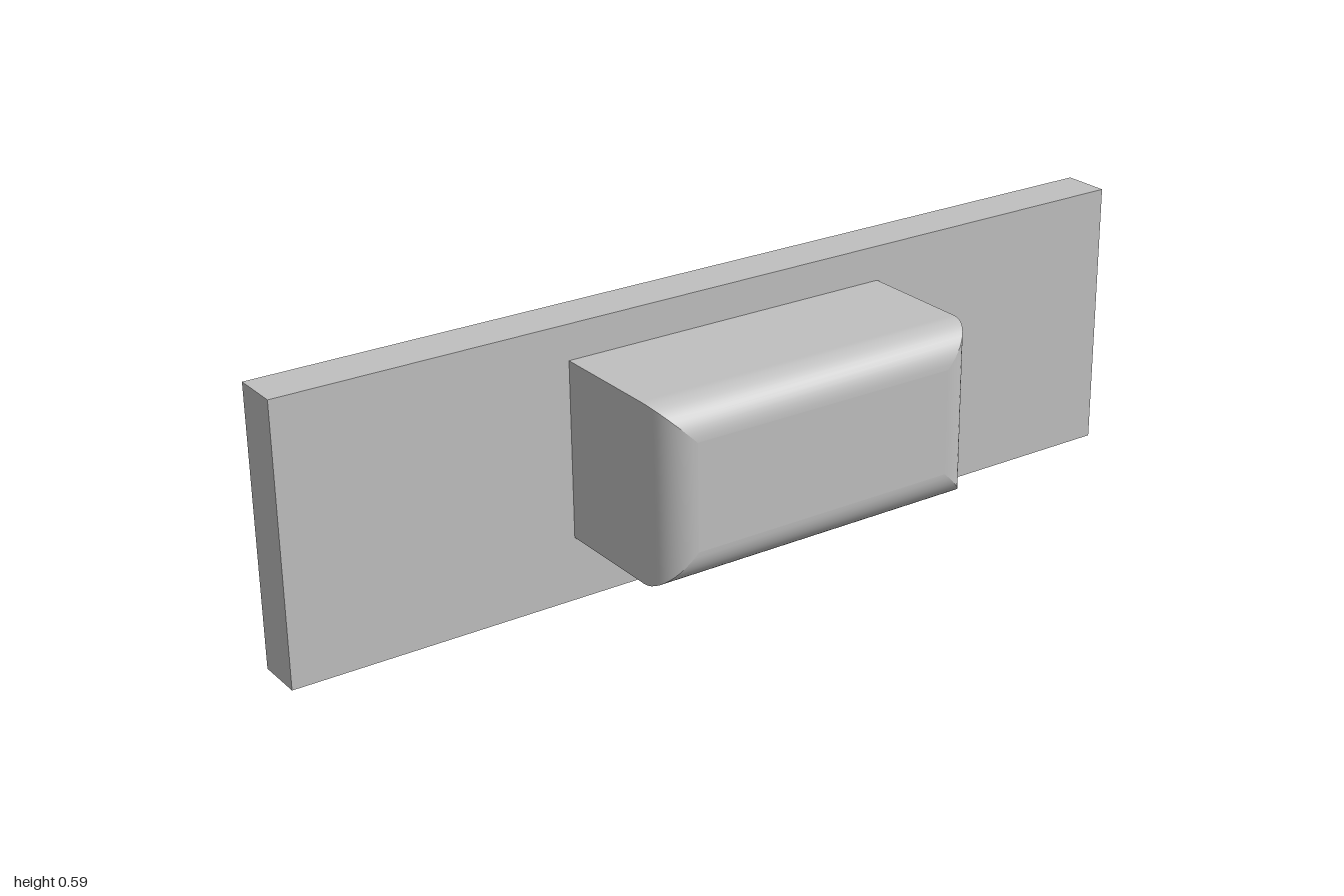
import * as THREE from 'three';

const PLATE = { x0: -0.213, x1: -0.11, h: 0.588 };
const BLOCK = { x1: 0.213, y: 0.325, w: 0.75, h: 0.376, r: 0.075 };
const POCKET = { x1: 0.12, y: 0.356, w: 0.286, h: 0.304 };

// Four separate side strips of a rectangular tube along x, following [x, inset] steps.
// Steps with rising x face outward, falling x face inward; the corners stay mitred.
function rectangularTube(w, h, steps) {
  const corners = [[1, -1], [1, 1], [-1, 1], [-1, -1]];
  const pos = [], idx = [];
  for (let k = 0; k < 4; k++) {
    const base = pos.length / 3;
    steps.forEach(([x, inset], i) => {
      for (const [sy, sz] of [corners[k], corners[(k + 1) % 4]]) {
        pos.push(x, sy * (h / 2 - inset), sz * (w / 2 - inset));
      }
      if (i > 0) {
        const a = base + 2 * (i - 1);
        idx.push(a, a + 1, a + 3, a, a + 3, a + 2);
      }
    });
  }
  const g = new THREE.BufferGeometry();
  g.setAttribute('position', new THREE.Float32BufferAttribute(pos, 3));
  g.setIndex(idx);
  g.computeVertexNormals();
  return g;
}

export function createModel() {
  const model = new THREE.Group();
  const grey = new THREE.MeshStandardMaterial({ color: 0xc0c0c0 });
  grey.name = 'lightGrey';
  const add = (name, geometry, x = 0, y = 0) => {
    const mesh = new THREE.Mesh(geometry, grey);
    mesh.name = name;
    mesh.position.set(x, y, 0);
    model.add(mesh);
  };

  // Mounting plate with the rectangular opening
  const outline = new THREE.Shape([[-1, 0], [1, 0], [1, PLATE.h], [-1, PLATE.h]]
    .map(([u, v]) => new THREE.Vector2(u, v)));
  outline.holes.push(new THREE.Path([[-1, -1], [-1, 1], [1, 1], [1, -1]]
    .map(([u, v]) => new THREE.Vector2(u * POCKET.w / 2, POCKET.y + v * POCKET.h / 2))));
  const plate = new THREE.ExtrudeGeometry(outline, { depth: PLATE.x1 - PLATE.x0, bevelEnabled: false });
  add('mountingPlate', plate.rotateY(Math.PI / 2), PLATE.x0);

  // Block sides with rounded outer edges
  const steps = [[PLATE.x1, 0]];
  for (let i = 0; i <= 12; i++) {
    const t = (i / 12) * Math.PI / 2;
    steps.push([BLOCK.x1 - BLOCK.r * (1 - Math.sin(t)), BLOCK.r * (1 - Math.cos(t))]);
  }
  add('blockSides', rectangularTube(BLOCK.w, BLOCK.h, steps), 0, BLOCK.y);

  // Flat outer face of the block
  const face = new THREE.PlaneGeometry(BLOCK.w - 2 * BLOCK.r, BLOCK.h - 2 * BLOCK.r);
  add('blockFace', face.rotateY(Math.PI / 2), BLOCK.x1, BLOCK.y);

  // Pocket continuing from the opening into the block
  add('pocketWalls', rectangularTube(POCKET.w, POCKET.h, [[POCKET.x1, 0], [PLATE.x1, 0]]), 0, POCKET.y);
  add('pocketEnd', new THREE.PlaneGeometry(POCKET.w, POCKET.h).rotateY(-Math.PI / 2), POCKET.x1, POCKET.y);

  return model;
}
